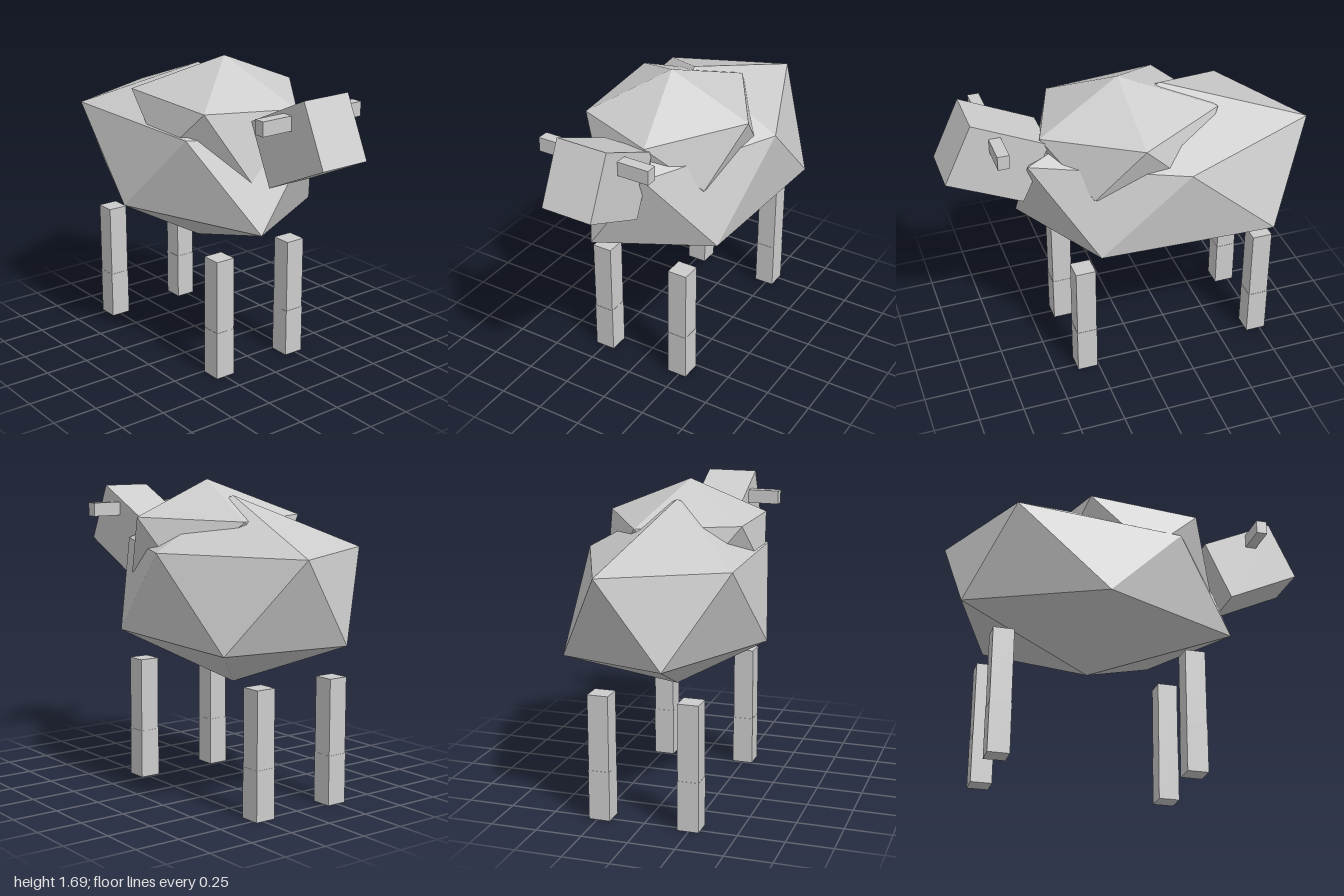
import * as THREE from 'three';

// Faceted twenty-sided lump from two staggered five-point rings and two poles
function facetedLump(top, upper, lower, bottom) {
  const pos = [];
  const face = (...pts) => pts.forEach((p) => pos.push(...p));
  for (let i = 0; i < 5; i++) {
    const j = (i + 1) % 5;
    face(top, upper[j], upper[i]);
    face(upper[i], upper[j], lower[i]);
    face(upper[j], lower[j], lower[i]);
    face(bottom, lower[i], lower[j]);
  }
  const geo = new THREE.BufferGeometry();
  geo.setAttribute('position', new THREE.Float32BufferAttribute(pos, 3));
  geo.computeVertexNormals();
  return geo;
}

export function createModel() {
  const group = new THREE.Group();
  const grey = new THREE.MeshStandardMaterial({ color: 0xcccccc });
  grey.name = 'light grey';

  const add = (name, geo, x = 0, y = 0, z = 0) => {
    const mesh = new THREE.Mesh(geo, grey);
    mesh.name = name;
    mesh.position.set(x, y, z);
    group.add(mesh);
    return mesh;
  };

  // Main woolly body
  add('body', facetedLump(
    [0, 1.61, -0.2],
    [[0.5, 1.33, -0.2], [0.16, 1.34, 0.575], [-0.39, 1.325, 0.22], [-0.45, 1.35, -0.705], [0.16, 1.34, -1]],
    [[0.42, 0.865, 0.265], [-0.17, 0.86, 0.575], [-0.5, 0.88, -0.205], [-0.16, 0.88, -0.935], [0.45, 0.855, -0.71]],
    [0, 0.6, -0.205],
  ));

  // Smaller lump over the shoulders
  add('shoulderWool', facetedLump(
    [0, 1.69, 0.035],
    [[0.46, 1.5, 0.035], [0.12, 1.47, 0.495], [-0.35, 1.48, 0.325], [-0.38, 1.5, -0.29], [0.14, 1.49, -0.48]],
    [[0.34, 1.18, 0.27], [-0.14, 1.09, 0.48], [-0.42, 1.2, 0.03], [-0.14, 1.19, -0.42], [0.38, 1.2, -0.25]],
    [0, 1.0, 0.035],
  ));

  // Raised head
  const head = add('head', new THREE.BoxGeometry(0.286, 0.353, 0.443), -0.002, 1.375, 0.725);
  head.rotation.x = -0.44;

  // Ears
  for (const [side, name] of [[1, 'leftEar'], [-1, 'rightEar']]) {
    add(name, new THREE.BoxGeometry(0.2, 0.077, 0.062), -0.004 + side * 0.22, 1.498, 0.731);
  }

  // Legs, each with a lower foot block
  for (const [x, side] of [[0.237, 'Left'], [-0.247, 'Right']]) {
    for (const [z, end] of [[0.315, 'front'], [-0.725, 'back']]) {
      add(`${end}${side}Leg`, new THREE.BoxGeometry(0.112, 0.41, 0.112), x, 0.475, z);
      add(`${end}${side}Foot`, new THREE.BoxGeometry(0.115, 0.27, 0.115), x, 0.135, z);
    }
  }
  return group;
}
